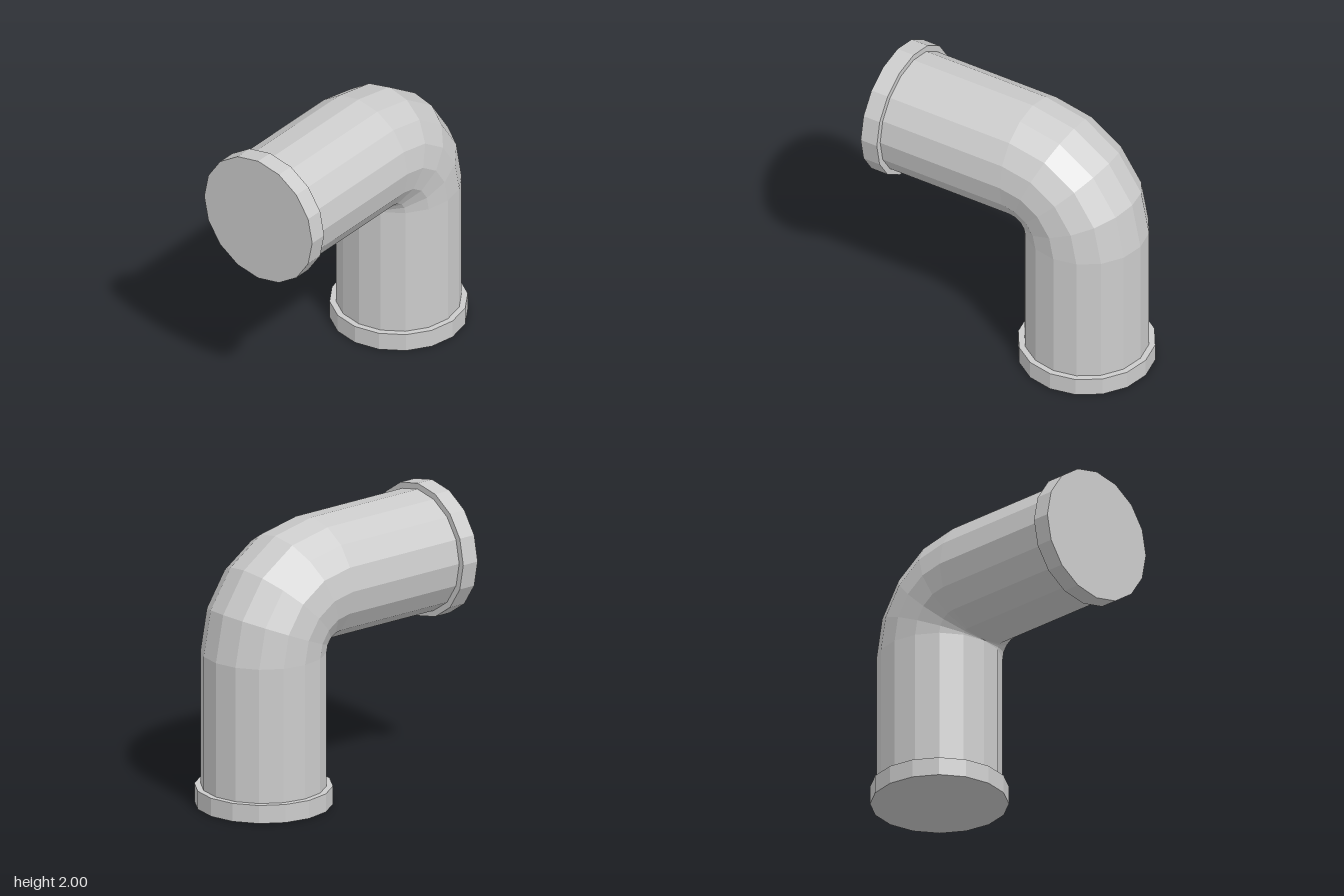
import * as THREE from 'three';

const SIDES = 16;
const PIPE_R = 0.432;
const FLANGE_R = 0.475;
const FLANGE_H = 0.13;
const BEND_R = 0.435;
const BEND_Y = 1.09; // centre of the bend
const BEND_Z = -0.09;

export function createModel() {
  const group = new THREE.Group();
  const material = new THREE.MeshStandardMaterial({ color: 0xcccccc, flatShading: true });

  const add = (name, geometry) => {
    const mesh = new THREE.Mesh(geometry, material);
    mesh.name = name;
    group.add(mesh);
  };

  // Upright cylinder from y = a to y = b on the lower pipe's axis
  const upright = (radius, a, b, open) =>
    new THREE.CylinderGeometry(radius, radius, b - a, SIDES, 1, open)
      .translate(0, (a + b) / 2, BEND_Z - BEND_R);

  // Level cylinder from z = a to z = b on the upper pipe's axis
  const level = (radius, a, b, open) =>
    new THREE.CylinderGeometry(radius, radius, b - a, SIDES, 1, open)
      .rotateX(Math.PI / 2)
      .translate(0, BEND_Y + BEND_R, (a + b) / 2);

  // Closed end flanges
  add('bottomFlange', upright(FLANGE_R, 0, FLANGE_H, false));
  add('frontFlange', level(FLANGE_R, 1 - FLANGE_H, 1, false));

  // Straight pipe runs
  add('verticalPipe', upright(PIPE_R, FLANGE_H, BEND_Y, true));
  add('horizontalPipe', level(PIPE_R, BEND_Z, 1 - FLANGE_H, true));

  // Quarter-turn elbow joining the runs
  add('elbow', new THREE.TorusGeometry(BEND_R, PIPE_R, SIDES, 4, Math.PI / 2)
    .rotateY(Math.PI / 2)
    .translate(0, BEND_Y, BEND_Z));

  return group;
}
